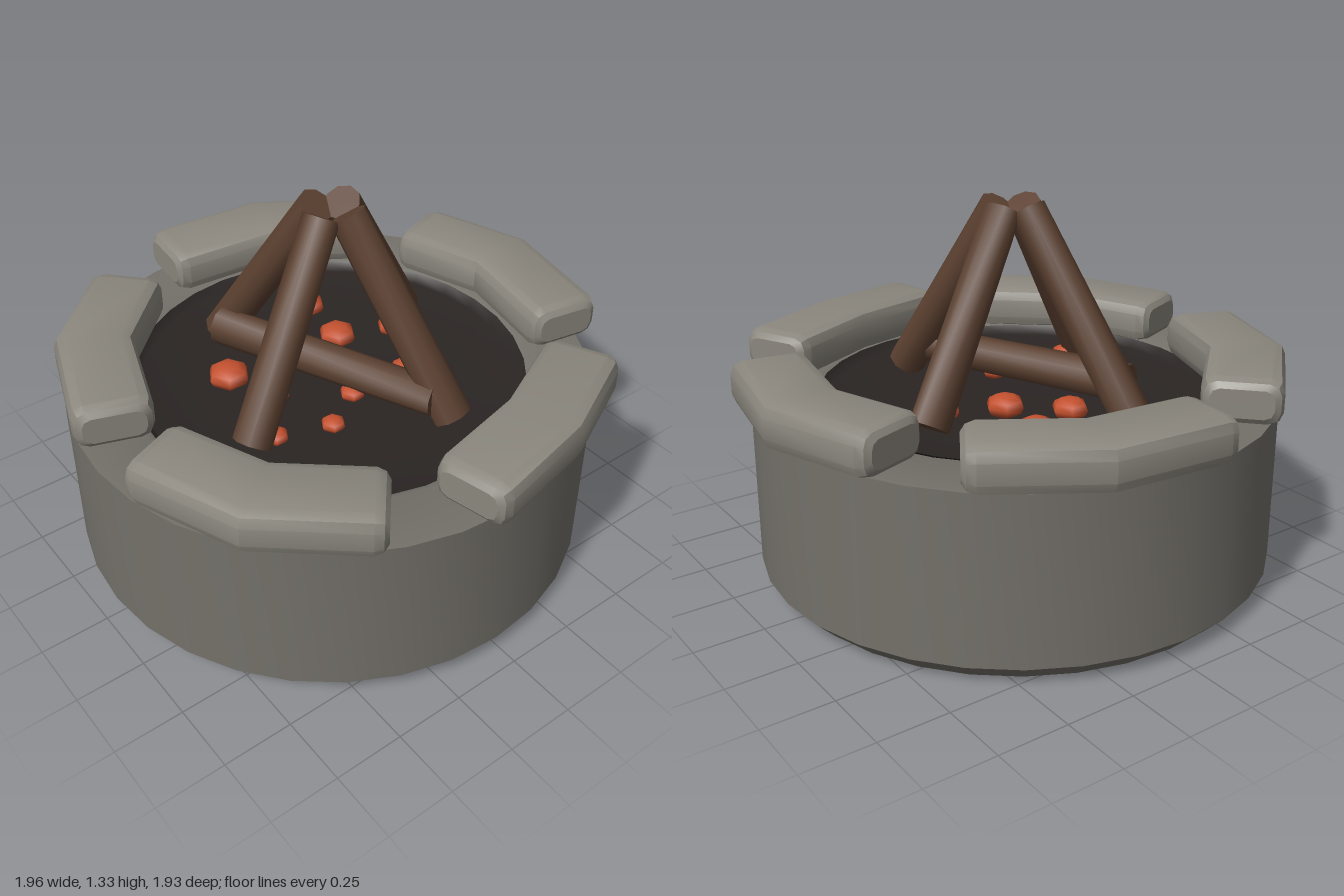
import * as THREE from 'three';
import { toCreasedNormals } from 'three/addons/utils/BufferGeometryUtils.js';

const mat = (color, extra = {}) => new THREE.MeshStandardMaterial({ color, ...extra });
const V2 = (x, y) => new THREE.Vector2(x, y);

function add(parent, name, geometry, material) {
  const mesh = new THREE.Mesh(geometry, material);
  mesh.name = name;
  parent.add(mesh);
  return mesh;
}

const lathe = (pairs, segments) => toCreasedNormals(
  new THREE.LatheGeometry(pairs.map(([x, y]) => V2(x, y)), segments), 0.5);

// Bevelled stone cross-section, counter-clockwise in (outward, up)
function stoneSection(inset) {
  const w = 0.137 - inset, h = 0.08 - inset, pts = [];
  const b = 0.045 - inset * 0.4;
  for (const [sx, sy, start] of [[1, -1, -90], [1, 1, 0], [-1, 1, 90], [-1, -1, 180]]) {
    for (const step of [0, 45, 90]) {
      const a = THREE.MathUtils.degToRad(start + step);
      pts.push([sx * (w - b) + b * Math.cos(a), sy * (h - b) + b * Math.sin(a)]);
    }
  }
  return pts;
}

// Bent coping stone: sections swept along a three-point path in plan
function stoneGeometry(path) {
  const [p0, p1, p2] = path.map(([x, z]) => V2(x, z));
  const d0 = p1.clone().sub(p0).normalize(), d1 = p2.clone().sub(p1).normalize();
  const mid = d0.clone().add(d1).normalize();
  const mitre = 1 / mid.dot(d0);
  const along = (p, d, s) => p.clone().addScaledVector(d, s);
  const stations = [
    [p0, d0, 0.03, 1], [along(p0, d0, 0.015), d0, 0.01, 1], [along(p0, d0, 0.045), d0, 0, 1],
    [p1, mid, 0, mitre],
    [along(p2, d1, -0.045), d1, 0, 1], [along(p2, d1, -0.015), d1, 0.01, 1], [p2, d1, 0.03, 1],
  ];
  const rings = stations.map(([p, t, inset, wide]) => stoneSection(inset).map(
    ([u, v]) => [p.x + t.y * u * wide, 0.73 + v, p.y - t.x * u * wide]));
  const pos = [], n = rings[0].length, last = rings.length - 1;
  const tri = (...corners) => corners.forEach((c) => pos.push(...c));
  for (let i = 0; i < n; i++) {
    const j = (i + 1) % n;
    for (let s = 0; s < last; s++) {
      tri(rings[s][i], rings[s][j], rings[s + 1][j]);
      tri(rings[s][i], rings[s + 1][j], rings[s + 1][i]);
    }
    tri([p0.x, 0.73, p0.y], rings[0][j], rings[0][i]);
    tri([p2.x, 0.73, p2.y], rings[last][i], rings[last][j]);
  }
  const g = new THREE.BufferGeometry();
  g.setAttribute('position', new THREE.Float32BufferAttribute(pos, 3));
  return toCreasedNormals(g, 0.5);
}

// Round log between two points
function addLog(parent, name, from, to, rFrom, rTo, material) {
  const dir = to.clone().sub(from);
  const geometry = toCreasedNormals(new THREE.CylinderGeometry(rTo, rFrom, dir.length(), 9), 0.9);
  const log = add(parent, name, geometry, material);
  log.position.copy(from).add(to).multiplyScalar(0.5);
  log.quaternion.setFromUnitVectors(new THREE.Vector3(0, 1, 0), dir.normalize());
}

export function createModel() {
  const root = new THREE.Group();
  root.name = 'firePit';

  // Round base with a chamfered foot and a flat rim
  const base = add(root, 'base', lathe(
    [[0, 0], [0.865, 0], [0.93, 0.065], [0.93, 0.655], [0.72, 0.66], [0.69, 0.645]], 32), mat(0x74716a));
  base.position.set(-0.005, 0, 0.02);

  // Shallow ash bowl
  const ash = add(root, 'ashBed', new THREE.LatheGeometry(
    [V2(0.7, 0.655), V2(0.67, 0.625), V2(0.45, 0.615), V2(0, 0.61)], 32),
  mat(0x2a2523, { side: THREE.DoubleSide }));
  ash.position.copy(base.position);

  // Five bent coping stones
  const stones = new THREE.Group();
  stones.name = 'copingStones';
  root.add(stones);
  const stoneMat = mat(0x8b877e);
  [
    [[-0.41, -0.71], [-0.04, -0.835], [0.4, -0.75]],
    [[0.59, -0.635], [0.765, -0.27], [0.855, 0.14]],
    [[0.765, 0.37], [0.5, 0.68], [0.12, 0.83]],
    [[-0.08, 0.835], [-0.48, 0.69], [-0.76, 0.39]],
    [[-0.85, 0.185], [-0.81, -0.245], [-0.585, -0.595]],
  ].forEach((path, i) => add(stones, `copingStone${i + 1}`, stoneGeometry(path), stoneMat));

  // Four leaning logs and one lying across the ash
  const logs = new THREE.Group();
  logs.name = 'logs';
  logs.position.set(0.005, 0, 0.015);
  root.add(logs);
  const logMat = mat(0x5b4030);
  for (let i = 0; i < 4; i++) {
    const a = THREE.MathUtils.degToRad(70 + i * 90);
    const at = (r, y) => new THREE.Vector3(r * Math.cos(a), y, r * Math.sin(a));
    addLog(logs, `leaningLog${i + 1}`, at(0.485, 0.645), at(0.06, 1.295), 0.07, 0.065, logMat);
  }
  addLog(logs, 'lyingLog', new THREE.Vector3(-0.38, 0.72, 0.22),
    new THREE.Vector3(0.42, 0.72, -0.12), 0.07, 0.065, logMat);

  // Glowing coals: x, z, radius
  const coals = new THREE.Group();
  coals.name = 'coals';
  root.add(coals);
  const coalMat = mat(0xc4512f);
  [
    [-0.37, -0.155, 0.062], [0.165, -0.195, 0.056], [-0.07, -0.32, 0.055], [-0.15, -0.125, 0.07],
    [-0.3, 0.04, 0.066], [0.255, 0.2, 0.043], [-0.185, 0.33, 0.076], [0.005, 0.25, 0.042],
    [0.19, 0.39, 0.045], [0.16, 0.045, 0.045],
  ].forEach(([x, z, r], i) => {
    const coal = add(coals, `coal${i + 1}`, new THREE.SphereGeometry(r, 6, 6), coalMat);
    coal.position.set(x, 0.65, z);
    coal.scale.y = 0.6;
    coal.rotation.y = Math.PI / 6;
  });

  return root;
}
